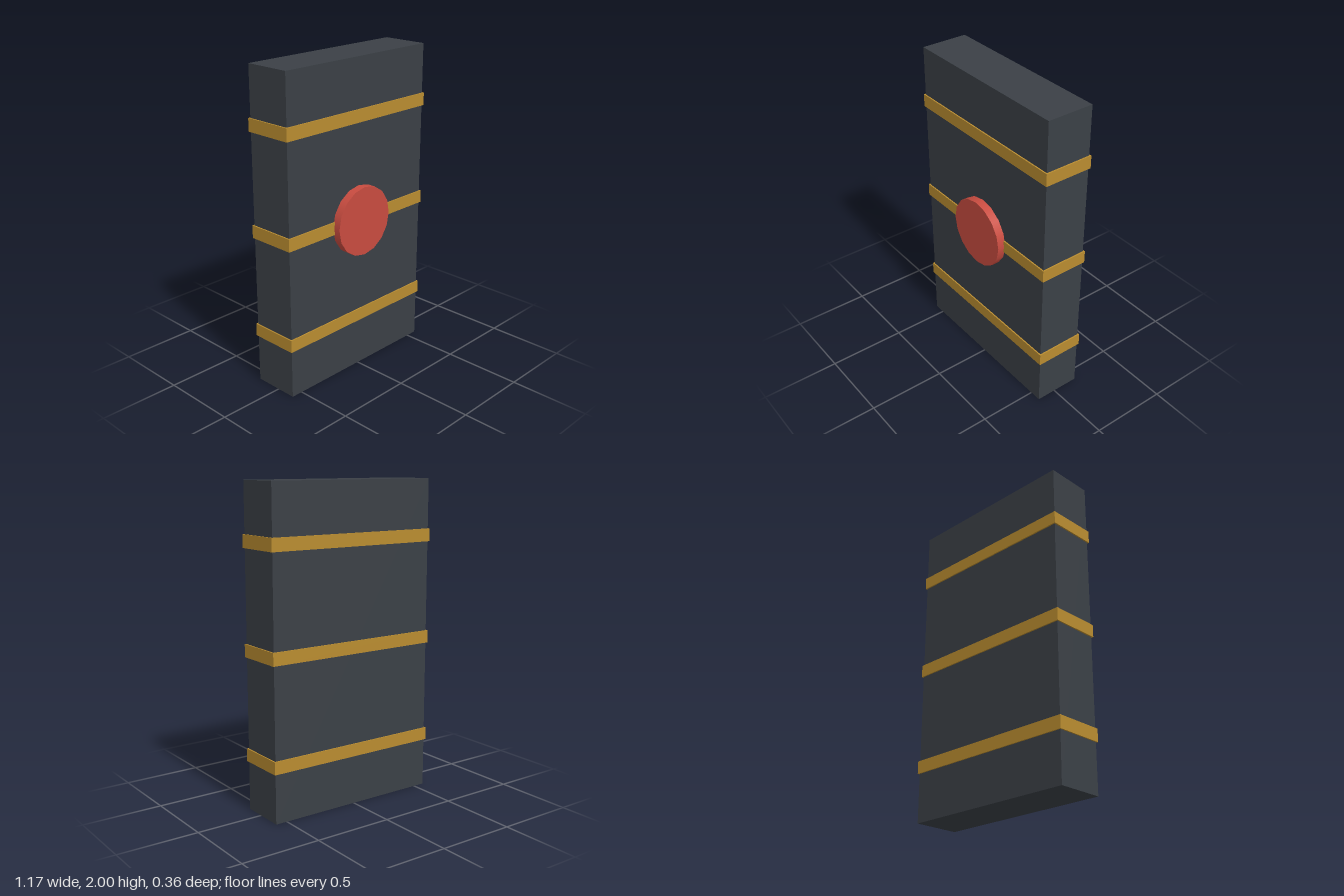
import * as THREE from 'three';

export function createModel() {
  const group = new THREE.Group();
  const material = (name, color) => {
    const m = new THREE.MeshStandardMaterial({ color });
    m.name = name;
    return m;
  };
  const slate = material('dark slate', 0x3b4046);
  const gold = material('gold', 0xb98c30);
  const red = material('red', 0xc94c40);

  const add = (name, geometry, mat, x, y, z) => {
    const mesh = new THREE.Mesh(geometry, mat);
    mesh.name = name;
    mesh.position.set(x, y, z);
    group.add(mesh);
    return mesh;
  };

  // Upright slab, set back slightly to make room for the disc
  const slabZ = -0.022;
  add('slab', new THREE.BoxGeometry(1.15, 2, 0.3), slate, 0, 1, slabZ);

  // Three bands wrapped around the slab
  const bandGeometry = new THREE.BoxGeometry(1.168, 0.08, 0.317);
  [['lowerBand', 0.35], ['middleBand', 1], ['upperBand', 1.65]].forEach(([name, y]) =>
    add(name, bandGeometry, gold, 0, y, slabZ));

  // Round disc on the front
  const discGeometry = new THREE.CylinderGeometry(0.22, 0.22, 0.054, 16).rotateX(Math.PI / 2);
  add('frontDisc', discGeometry, red, 0, 1, 0.153);

  return group;
}
